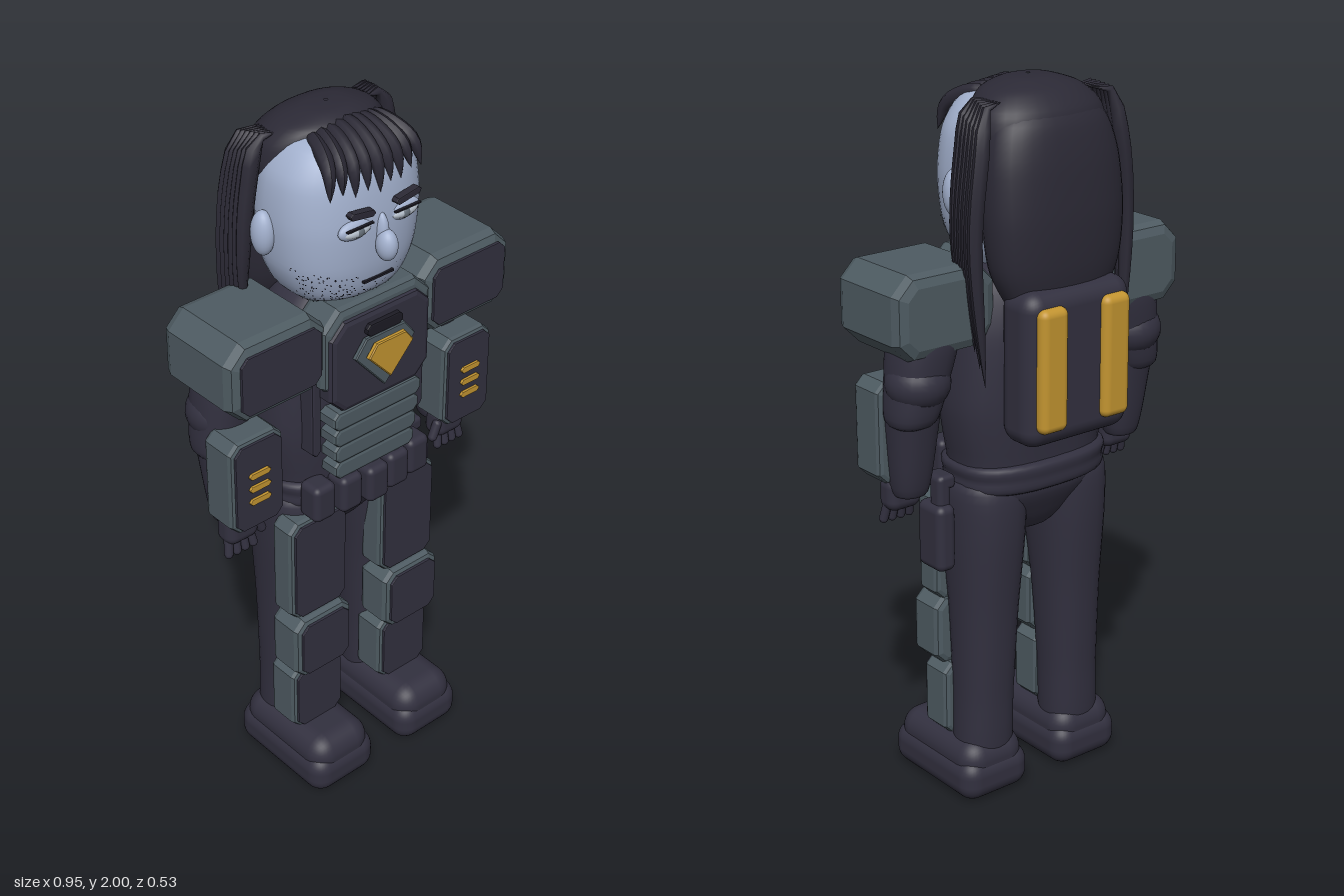
import * as THREE from 'three';
import { mergeGeometries } from 'three/addons/utils/BufferGeometryUtils.js';
import { RoundedBoxGeometry } from 'three/addons/geometries/RoundedBoxGeometry.js';

const V = (x, y, z) => new THREE.Vector3(x, y, z);

// Point on a superellipse skin through rows of [y, radiusX, radiusZ, centreX, centreZ]
function skin(rows, n) {
  const size = new THREE.CatmullRomCurve3(rows.map(r => V(r[1], r[0], r[2])), false, 'catmullrom', 0.4);
  const mid = new THREE.CatmullRomCurve3(rows.map(r => V(r[3] || 0, r[0], r[4] || 0)), false, 'catmullrom', 0.4);
  const pw = v => Math.sign(v) * Math.abs(v) ** (2 / n);
  return (t, a) => {
    const s = size.getPoint(t), m = mid.getPoint(t);
    return V(m.x + Math.max(s.x, 0.0005) * pw(Math.cos(a)), s.y, m.z + Math.max(s.z, 0.0005) * pw(Math.sin(a)));
  };
}

// Smooth closed body made of cross-sections, rows from bottom to top
function loft(rows, n = 2.3, seg = 32) {
  const at = skin(rows, n), steps = (rows.length - 1) * 5, pos = [], idx = [];
  for (let j = 0; j <= steps; j++)
    for (let i = 0; i < seg; i++) pos.push(...at(j / steps, i / seg * Math.PI * 2).toArray());
  for (let j = 0; j < steps; j++)
    for (let i = 0; i < seg; i++) {
      const a = j * seg + i, c = j * seg + (i + 1) % seg, b = a + seg, d = c + seg;
      idx.push(a, b, c, c, b, d);
    }
  const g = new THREE.BufferGeometry();
  g.setAttribute('position', new THREE.Float32BufferAttribute(pos, 3));
  g.setIndex(idx);
  g.computeVertexNormals();
  return g;
}

// Box with cut corners and a bevelled front and back
function cutBox(w, h, d, cut, bevel) {
  const x = w / 2 - bevel, y = h / 2 - bevel, s = new THREE.Shape();
  s.setFromPoints([[x - cut, -y], [x, -y + cut], [x, y - cut], [x - cut, y], [-x + cut, y], [-x, y - cut], [-x, -y + cut], [-x + cut, -y]]
    .map(p => new THREE.Vector2(...p)));
  return new THREE.ExtrudeGeometry(s, { depth: d - 2 * bevel, bevelEnabled: bevel > 0, bevelSize: bevel, bevelThickness: bevel, bevelSegments: 2 })
    .translate(0, 0, bevel - d / 2);
}

// Hair strand: a tube that thins to a point
function strand(points, r) {
  const curve = new THREE.CatmullRomCurve3(points), n = 14;
  const g = new THREE.TubeGeometry(curve, n, 1, 7), p = g.attributes.position;
  for (let k = 0; k < p.count; k++) {
    const t = Math.floor(k / 8) / n, c = curve.getPointAt(t), v = V().fromBufferAttribute(p, k);
    v.sub(c).multiplyScalar(r * Math.min(1, 0.05 + t * 6) * (1.01 - t ** 4)).add(c);
    p.setXYZ(k, v.x, v.y, v.z);
  }
  g.computeVertexNormals();
  return g;
}

export function createModel() {
  const root = new THREE.Group();
  root.name = 'armouredFigure';
  const mat = (name, color) => Object.assign(new THREE.MeshStandardMaterial({ color }), { name });
  const suit = mat('darkSuit', 0x32303f), steel = mat('greyArmour', 0x4e5b62), gold = mat('gold', 0xc29430);
  const skinTone = mat('paleSkin', 0xa3b1ce), hair = mat('darkHair', 0x2b2935), eyeWhite = mat('eyeWhite', 0xb9c3cf);
  const iris = mat('greyIris', 0x66707a), ink = mat('blackLine', 0x1c1b24);

  const add = (name, geo, m, x = 0, y = 0, z = 0, rz = 0) => {
    const mesh = new THREE.Mesh(geo, m);
    mesh.name = name;
    mesh.position.set(x, y, z);
    mesh.rotation.z = rz;
    root.add(mesh);
    return mesh;
  };
  const ball = (name, m, x, y, z, rx, ry, rz) =>
    add(name, new THREE.SphereGeometry(1, 24, 16).scale(rx, ry, rz), m, x, y, z);
  const round = (name, m, w, h, d, r, x, y, z) => add(name, new RoundedBoxGeometry(w, h, d, 4, r), m, x, y, z);
  // Grey armour block with a thin dark panel on its front
  const armour = (name, x, y, z0, z1, w, h, bevel = 0.014, cut = 0.018) => {
    add(name, cutBox(w, h, z1 - z0, cut, bevel), steel, x, y, (z0 + z1) / 2);
    add(name + 'Panel', cutBox(w - 2 * bevel + 0.006, h - 2 * bevel + 0.006, 0.009, 0.02, 0.002), suit, x, y, z1 + 0.003);
  };

  // Torso, pelvis and belt
  add('torso', loft([[0.88, 0.02, 0.02], [0.9, 0.2, 0.12], [1, 0.225, 0.135], [1.15, 0.245, 0.145], [1.35, 0.225, 0.145], [1.48, 0.18, 0.12], [1.55, 0.1, 0.08], [1.56, 0.01, 0.01]], 2.6), suit);
  add('pelvis', loft([[0.755, 0.01, 0.01], [0.77, 0.06, 0.06], [0.83, 0.15, 0.1], [0.92, 0.22, 0.13], [0.96, 0.01, 0.01]], 2.6), suit);
  add('belt', loft([[0.905, 0.02, 0.02], [0.91, 0.215, 0.14], [0.95, 0.23, 0.152], [0.99, 0.22, 0.145], [0.995, 0.02, 0.02]], 2.6), suit);
  for (let i = -2; i <= 2; i++)
    round('beltPouch', suit, 0.074, 0.11, 0.075, 0.018, i * 0.083, 0.955, 0.162 - 0.012 * Math.abs(i));

  // Chest and abdomen armour
  add('chestRim', cutBox(0.36, 0.27, 0.12, 0.04, 0.02), steel, 0, 1.405, 0.125);
  add('chestPlate', cutBox(0.335, 0.27, 0.1, 0.035, 0.015), suit, 0, 1.375, 0.147);
  add('chestClip', cutBox(0.12, 0.035, 0.02, 0.008, 0.004), ink, 0, 1.462, 0.2);
  for (let i = 0; i < 4; i++)
    add('abdomenPlate', cutBox(0.3 - 0.008 * (3 - i), 0.056, 0.1, 0.01, 0.009), steel, 0, 1.045 + i * 0.054, 0.13 + i * 0.003);
  const kite = (name, m, w, top, low, z) => {
    const s = new THREE.Shape([[0, low], [w, top - w * 0.45], [w * 0.65, top], [-w * 0.65, top], [-w, top - w * 0.45]].map(p => new THREE.Vector2(...p)));
    add(name, new THREE.ExtrudeGeometry(s, { depth: 0.009, bevelSize: 0.003, bevelThickness: 0.003, bevelSegments: 1 }), m, 0, 0, z);
  };
  kite('chestShieldRim', steel, 0.098, 1.442, 1.285, 0.2);
  kite('chestShield', gold, 0.072, 1.432, 1.322, 0.222);

  // Backpack
  round('backpack', suit, 0.35, 0.42, 0.14, 0.05, 0, 1.28, -0.175);

  // Holster on the left hip
  round('holster', suit, 0.06, 0.19, 0.105, 0.022, 0.28, 0.79, 0.02);
  round('holsterGrip', suit, 0.04, 0.11, 0.05, 0.015, 0.275, 0.91, 0.01);
  round('holsterHammer', suit, 0.05, 0.04, 0.07, 0.012, 0.265, 0.945, 0.02);

  for (const s of [1, -1]) {
    round('backpackCell', gold, 0.09, 0.335, 0.05, 0.022, s * 0.104, 1.285, -0.242);
    add('chestStrap', cutBox(0.03, 0.32, 0.09, 0.008, 0.006), suit, s * 0.178, 1.26, 0.105);

    // Shoulder and arm
    armour('shoulder', s * 0.318, 1.443, -0.098, 0.178, 0.312, 0.226, 0.032, 0.03);
    add('upperArm', loft([[1.12, 0.01, 0.01], [1.15, 0.065, 0.065], [1.25, 0.082, 0.08], [1.38, 0.088, 0.085], [1.42, 0.01, 0.01]].map(r => [...r, s * (0.36 - (r[0] - 1.25) * 0.2), -0.01])), suit);
    ball('elbow', suit, s * 0.363, 1.25, -0.02, 0.088, 0.075, 0.085);
    add('forearm', loft([[0.93, 0.01, 0.01], [0.94, 0.048, 0.045], [1.08, 0.065, 0.062], [1.25, 0.072, 0.07], [1.28, 0.01, 0.01]].map(r => [...r, s * 0.367, 0.02 - (r[0] - 0.93) * 0.08])), suit);
    armour('forearmGuard', s * 0.368, 1.108, 0.03, 0.14, 0.172, 0.28);
    for (let i = -1; i <= 1; i++)
      add('forearmLight', cutBox(0.068, 0.018, 0.009, 0.006, 0.002), gold, s * 0.37, 1.103 + i * 0.04, 0.151);

    // Hand
    round('palm', suit, 0.105, 0.095, 0.07, 0.028, s * 0.372, 0.93, 0.055);
    for (let i = 0; i < 4; i++) {
      const f = add('finger', new THREE.CapsuleGeometry(0.0125, 0.045, 4, 10), suit, s * (0.338 + i * 0.025), 0.878, 0.066, s * (i - 1.5) * 0.1);
      f.rotation.x = -0.2;
    }
    add('thumb', new THREE.CapsuleGeometry(0.014, 0.04, 4, 10), suit, s * 0.318, 0.915, 0.075, -s * 0.4);

    // Leg and its armour
    add('leg', loft([[0.09, 0.01, 0.01, 0, 0], [0.1, 0.078, 0.07, 0, -0.01], [0.3, 0.082, 0.08, 0, -0.01], [0.55, 0.09, 0.095, 0, -0.008], [0.8, 0.105, 0.12, 0, -0.002], [0.93, 0.1, 0.11, 0, 0], [0.95, 0.01, 0.01, 0, 0]].map(r => [r[0], r[1], r[2], s * (0.157 - r[0] * 0.02), r[4]]), 2.3), suit);
    armour('thighGuard', s * 0.16, 0.732, 0.055, 0.136, 0.196, 0.325);
    armour('kneeGuard', s * 0.163, 0.475, 0.05, 0.162, 0.196, 0.2, 0.018);
    armour('shinGuard', s * 0.161, 0.27, 0.03, 0.13, 0.178, 0.22);
    round('boot', suit, 0.205, 0.15, 0.35, 0.06, s * 0.162, 0.098, 0.08);
    round('bootSole', suit, 0.225, 0.125, 0.367, 0.05, s * 0.163, 0.0625, 0.08);

    // Ear, eye and brow
    ball('ear', skinTone, s * 0.222, 1.72, 0, 0.03, 0.062, 0.034);
    ball('eyelid', skinTone, s * 0.078, 1.753, 0.178, 0.054, 0.027, 0.018);
    ball('eye', eyeWhite, s * 0.078, 1.75, 0.184, 0.044, 0.016, 0.016);
    ball('iris', iris, s * 0.075, 1.75, 0.193, 0.014, 0.014, 0.009);
    add('lashLine', new THREE.BoxGeometry(0.085, 0.004, 0.008), ink, s * 0.078, 1.765, 0.197);
    add('brow', cutBox(0.082, 0.019, 0.022, 0.006, 0.003), hair, s * 0.075, 1.8, 0.195, s * 0.16);

    // Long side locks
    for (let i = 0; i < 6; i++)
      add('sideLock', strand([V(s * 0.15, 1.955, -0.035 - i * 0.012), V(s * 0.198, 1.95, -0.04 - i * 0.013), V(s * 0.232, 1.82, -0.045 - i * 0.015),
        V(s * 0.252, 1.62, -0.045 - i * 0.015), V(s * (0.25 - i * 0.004), 1.46 - i * 0.045, -0.05 - i * 0.016)], 0.023), hair);
  }

  // Head, nose and mouth
  const headRows = [[1.49, 0.01, 0.01], [1.505, 0.11, 0.09], [1.55, 0.168, 0.14], [1.63, 0.203, 0.162], [1.75, 0.215, 0.168], [1.87, 0.2, 0.152], [1.95, 0.14, 0.11], [1.978, 0.01, 0.01]].map(r => [...r, 0, 0.022]);
  add('head', loft(headRows, 2.4, 48), skinTone);
  ball('noseBridge', skinTone, 0, 1.72, 0.185, 0.018, 0.055, 0.025);
  ball('nose', skinTone, 0, 1.692, 0.208, 0.027, 0.043, 0.031);
  add('mouth', new THREE.BoxGeometry(0.1, 0.006, 0.009), ink, 0, 1.59, 0.178);

  // Stubble: tiny flat dots scattered over the jaw
  let seed = 7;
  const rnd = () => (seed = (seed * 16807) % 2147483647) / 2147483647;
  const face = skin(headRows, 2.4), dots = [], probe = new THREE.Object3D();
  for (let i = 0; i < 260; i++) {
    const a = Math.PI * (0.08 + 0.84 * rnd()), edge = Math.abs(Math.cos(a));
    const p = face((1.6 + (1.1 + 0.5 * edge) * rnd()) / 7, a);
    if (Math.abs(p.x) < 0.06 && Math.abs(p.y - 1.59) < 0.015) continue;
    const out = V(p.x, (p.y - 1.72) * 0.5, p.z - 0.022).normalize();
    probe.position.copy(p).addScaledVector(out, 0.002);
    probe.lookAt(p.clone().add(out));
    probe.updateMatrix();
    dots.push(new THREE.CircleGeometry(0.0024, 5).applyMatrix4(probe.matrix));
  }
  add('stubble', mergeGeometries(dots), ink);

  // Hair: crown, back mass and fringe
  add('hairCrown', loft([[1.82, 0.02, 0.02, 0, -0.06], [1.84, 0.185, 0.12, 0, -0.06], [1.92, 0.185, 0.122, 0, -0.052], [1.97, 0.14, 0.1, 0, -0.03], [1.995, 0.07, 0.055, 0, -0.02], [2, 0.005, 0.005, 0, -0.02]], 2.3), hair);
  add('hairBack', loft([[1.38, 0.01, 0.01, 0, -0.14], [1.41, 0.13, 0.055, 0, -0.14], [1.52, 0.195, 0.088, 0, -0.13], [1.66, 0.212, 0.1, 0, -0.122], [1.8, 0.205, 0.105, 0, -0.105], [1.9, 0.175, 0.1, 0, -0.085], [1.965, 0.1, 0.07, 0, -0.06], [1.975, 0.01, 0.01, 0, -0.06]], 2.4), hair);
  for (let i = -4; i <= 4; i++) {
    const drop = 0.004 * Math.abs(i) + (i % 2 ? 0.012 : 0);
    add('fringeLock', strand([V(i * 0.023, 1.975 - Math.abs(i) * 0.004, 0.02), V(i * 0.029, 1.958 - Math.abs(i) * 0.004, 0.1),
      V(i * 0.034, 1.91, 0.165 - Math.abs(i) * 0.004), V(i * 0.037, 1.828 + drop, 0.183 - Math.abs(i) * 0.004)], 0.022), hair);
  }
  return root;
}
